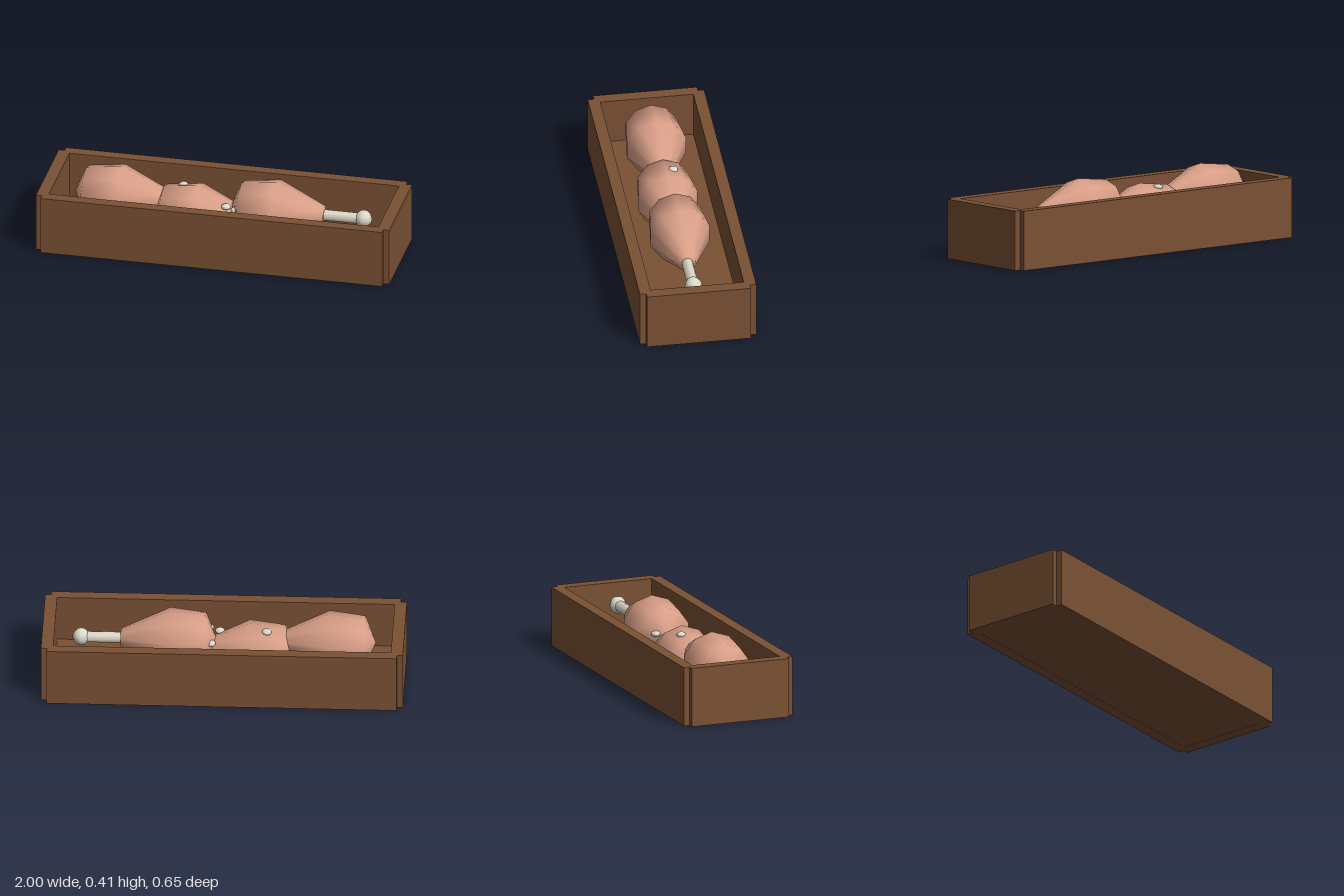
import * as THREE from 'three';

const material = (name, color) => {
  const m = new THREE.MeshStandardMaterial({ color });
  m.name = name;
  return m;
};

export function createModel() {
  const wood = material('brown wood', 0x7b5134);
  const meat = material('pink meat', 0xd99f87);
  const bone = material('pale bone', 0xdedacb);
  const model = new THREE.Group();
  model.name = 'crateOfDrumsticks';

  const add = (parent, name, geometry, mat, x, y, z) => {
    const mesh = new THREE.Mesh(geometry, mat);
    mesh.name = name;
    mesh.position.set(x, y, z);
    parent.add(mesh);
    return mesh;
  };

  // Open crate: floor, two long walls and two end walls with notched corners
  const crate = new THREE.Group();
  crate.name = 'crate';
  model.add(crate);
  const height = 0.333;
  add(crate, 'floor', new THREE.BoxGeometry(1.93, 0.065, 0.58), wood, 0, 0.0335, 0);
  for (const s of [-1, 1]) {
    add(crate, s > 0 ? 'frontWall' : 'backWall',
      new THREE.BoxGeometry(1.934, height, 0.065), wood, 0, height / 2, s * 0.2925);
    add(crate, s > 0 ? 'leftWall' : 'rightWall',
      new THREE.BoxGeometry(0.067, height, 0.58), wood, s * 0.9665, height / 2, 0);
  }

  // Meat profile (radius, distance along the stick), turned to lie along x
  const profile = [[0, -0.26], [0.148, -0.2], [0.173, 0], [0.05, 0.27], [0, 0.27]]
    .map(([r, d]) => new THREE.Vector2(r, d));
  const meatGeometry = new THREE.LatheGeometry(profile, 10, Math.PI / 2, Math.PI * 2).rotateZ(-Math.PI / 2);
  const boneGeometry = new THREE.CylinderGeometry(0.032, 0.032, 0.26, 8).rotateZ(-Math.PI / 2);
  const knobGeometry = new THREE.SphereGeometry(0.049, 8, 6);

  // Three drumsticks in a row, the middle one sunk lower
  [[-0.58, 0.242], [-0.14, 0.173], [0.3, 0.242]].forEach(([x, y], i) => {
    const stick = new THREE.Group();
    stick.name = 'drumstick' + (i + 1);
    stick.position.set(x, y, 0);
    add(stick, 'meat', meatGeometry, meat, 0, 0, 0);
    add(stick, 'bone', boneGeometry, bone, 0.36, 0, 0);
    add(stick, 'boneKnob', knobGeometry, bone, 0.49, 0, 0);
    model.add(stick);
  });

  // Small flattened pebbles of bone scattered on the meat
  const bitGeometry = new THREE.SphereGeometry(0.028, 8, 6).scale(1, 0.6, 1);
  [[-0.238, 0.32, -0.042], [0.025, 0.262, 0.06], [0.07, 0.255, -0.068], [0.085, 0.262, 0.09]]
    .forEach(([x, y, z], i) => add(model, 'boneBit' + (i + 1), bitGeometry, bone, x, y, z));

  return model;
}
